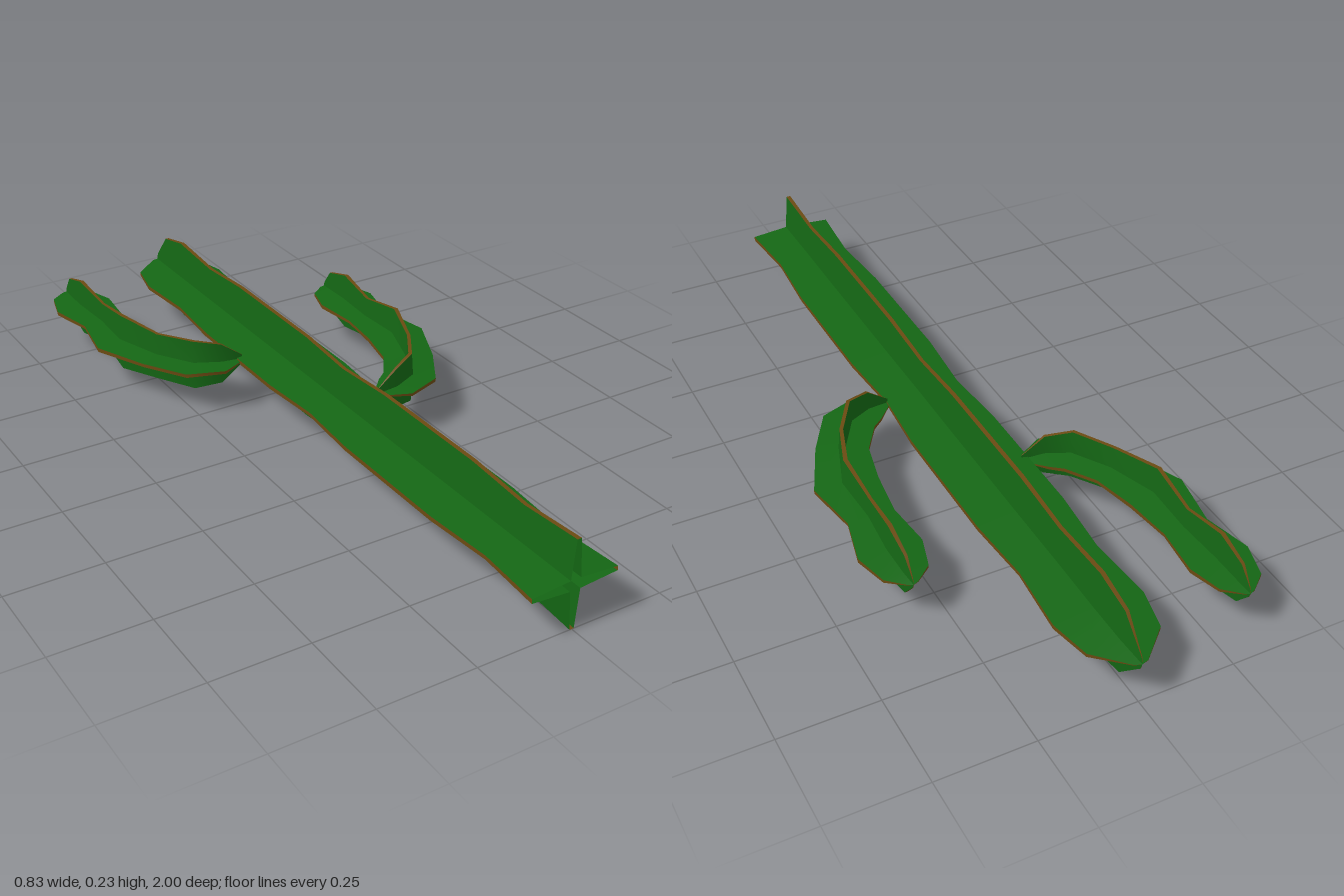
import * as THREE from 'three';
import { mergeGeometries } from 'three/addons/utils/BufferGeometryUtils.js';

const AXIS_Y = 0.1165;
const green = new THREE.MeshStandardMaterial({ color: 0x146614, side: THREE.DoubleSide });
const brown = new THREE.MeshStandardMaterial({ color: 0x6b4a12, side: THREE.DoubleSide });

// Rings are [x, z, radius] along a path lying in the horizontal plane.
// Returns a function placing a cross-section point (a, b, in units of radius) on ring i.
function placer(rings) {
  return (i, a, b) => {
    const p = rings[Math.max(i - 1, 0)], n = rings[Math.min(i + 1, rings.length - 1)];
    const t = new THREE.Vector2(n[0] - p[0], n[1] - p[1]).normalize();
    const [x, z, r] = rings[i];
    return [x + t.y * a * r, AXIS_Y + b * r, z - t.x * a * r];
  };
}

// One lengthwise strip between two cross-section points
function strip(rings, from, to) {
  const place = placer(rings), pos = [], index = [];
  rings.forEach((_, i) => {
    pos.push(...place(i, ...from), ...place(i, ...to));
    if (i) {
      const k = 2 * i - 2;
      index.push(k, k + 1, k + 3, k, k + 3, k + 2);
    }
  });
  const g = new THREE.BufferGeometry();
  g.setAttribute('position', new THREE.Float32BufferAttribute(pos, 3));
  g.setIndex(index);
  g.computeVertexNormals();
  return g;
}

// Four-finned stem: green flanks meeting in valleys, narrow brown ridges on the fins
function stem(name, rings, tip, valley) {
  const flanks = [], ridges = [];
  for (let k = 0; k < 4; k++) {
    const c = Math.round(Math.cos(k * Math.PI / 2)), s = Math.round(Math.sin(k * Math.PI / 2));
    const turn = (a, b) => [a * c - b * s, a * s + b * c];
    flanks.push(strip(rings, turn(valley, -valley), turn(1, -tip)));
    flanks.push(strip(rings, turn(1, tip), turn(valley, valley)));
    ridges.push(strip(rings, turn(1, -tip), turn(1, tip)));
  }
  const group = new THREE.Group();
  group.name = name;
  const body = new THREE.Mesh(mergeGeometries(flanks), green);
  body.name = name + 'Flanks';
  const edge = new THREE.Mesh(mergeGeometries(ridges), brown);
  edge.name = name + 'Ridges';
  group.add(body, edge);
  return group;
}

export function createModel() {
  const model = new THREE.Group();
  model.name = 'cactus';

  // Trunk, open at its base (+z), closing to a point at the back
  const trunk = [
    [1, 0.1165], [0.82, 0.103], [0.63, 0.1165], [0.27, 0.1165], [0.08, 0.103], [-0.1, 0.1165],
    [-0.46, 0.1165], [-0.64, 0.103], [-0.82, 0.1165], [-0.925, 0.094], [-0.995, 0.018], [-1, 0.001],
  ].map(([z, r]) => [0, z, r]);
  model.add(stem('trunk', trunk, 0.05, 0.12));

  // Curved arms: same shape mirrored, the right one set further back
  const arm = [
    [0.1, 0.08, 0.012], [0.16, 0.075, 0.057], [0.225, 0.045, 0.07], [0.285, -0.05, 0.067],
    [0.33, -0.18, 0.081], [0.325, -0.315, 0.06], [0.333, -0.44, 0.081], [0.333, -0.525, 0.057],
    [0.333, -0.56, 0.014], [0.333, -0.565, 0.001],
  ];
  for (const [name, side, dz] of [['leftArm', 1, 0], ['rightArm', -1, -0.36]]) {
    model.add(stem(name, arm.map(([x, z, r]) => [side * x, z + dz, r]), 0.07, 0.13));
  }
  return model;
}
